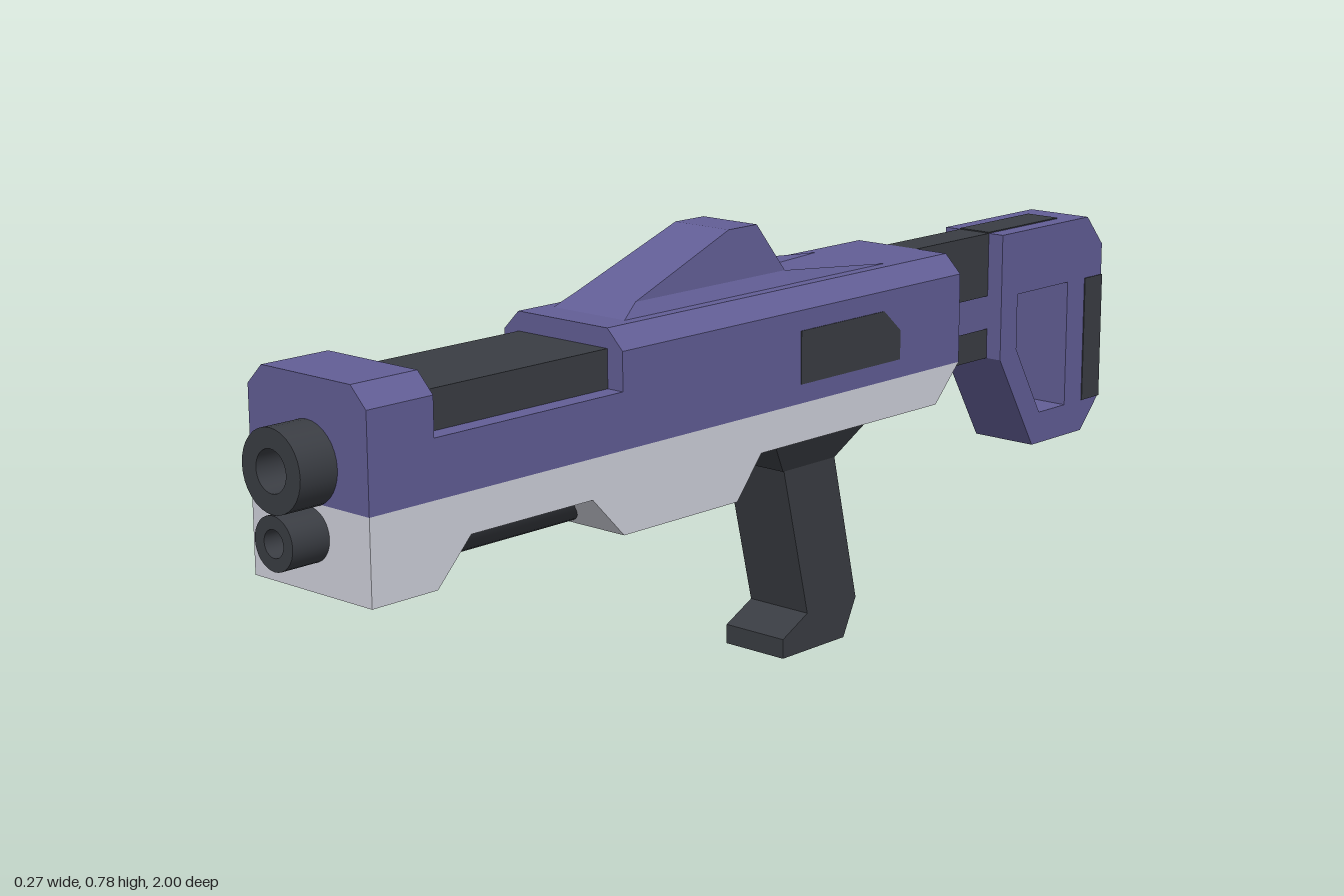
import * as THREE from 'three';
import { ConvexGeometry } from 'three/addons/geometries/ConvexGeometry.js';

const mat = (color, flatShading = true) => {
  const m = new THREE.MeshStandardMaterial({ flatShading });
  m.color.set(color);
  return m;
};
const purple = mat(0x625e96), dark = mat(0x3a3d43), light = mat(0xd0d2dc);
const darkSmooth = mat(0x3a3d43, false);
const V = (x, y, z) => new THREE.Vector3(x, y, z);
const shapeOf = (pts) => new THREE.Shape(pts.map(([a, b]) => new THREE.Vector2(a, b)));

// Side profile given as [z, y], extruded symmetrically across x
function sideExtrude(pts, halfWidth, hole) {
  const shape = shapeOf(pts);
  if (hole) shape.holes.push(shapeOf(hole));
  return new THREE.ExtrudeGeometry(shape, { depth: 2 * halfWidth, bevelEnabled: false })
    .translate(0, 0, -halfWidth).rotateY(-Math.PI / 2);
}

// Front profile given as [x, y], extruded from z0 to z1
const frontExtrude = (pts, z0, z1) =>
  new THREE.ExtrudeGeometry(shapeOf(pts), { depth: z1 - z0, bevelEnabled: false }).translate(0, 0, z0);

// Box given by its half width and its y and z ranges
const box = (hx, y0, y1, z0, z1) =>
  new THREE.BoxGeometry(2 * hx, y1 - y0, z1 - z0).translate(0, (y0 + y1) / 2, (z0 + z1) / 2);

// Hollow muzzle ring pointing forward
function ring(ro, ri, y, z0, z1) {
  const h = z1 - z0;
  const profile = [[ro, 0], [ro, h], [ro, h], [ri, h], [ri, h], [ri, 0]].map(([r, t]) => new THREE.Vector2(r, t));
  return new THREE.LatheGeometry(profile, 32).rotateX(Math.PI / 2).translate(0, y, z0);
}

// Sight housing: sections lofted from front to back, with the sloped rear left open for the frame
function sightGeometry() {
  const base = 0.668;
  const sections = [ // z, mid half width, mid y, top half width, top y
    [0.34, 0.08, base, 0.08, base],
    [0.3, 0.066, 0.69, 0.066, 0.69],
    [0.07, 0.066, 0.69, 0.06, 0.776],
    [0, 0.066, 0.69, 0.06, 0.776],
    [-0.065, 0.066, 0.69, 0.066, 0.69],
  ].map(([z, m, my, t, ty]) => [
    V(-0.08, base, z), V(-m, my, z), V(-t, ty, z), V(t, ty, z), V(m, my, z), V(0.08, base, z),
  ]);
  const pts = [], last = sections.length - 1;
  for (let j = 0; j < last; j++) {
    for (let k = 0; k < 5; k++) {
      if (j === last - 1 && k === 2) continue;
      const a = sections[j][k], b = sections[j][k + 1], c = sections[j + 1][k + 1], d = sections[j + 1][k];
      pts.push(a, b, c, a, c, d);
    }
  }
  for (let k = 1; k < 5; k++) pts.push(sections[last][0], sections[last][k], sections[last][k + 1]);
  const g = new THREE.BufferGeometry().setFromPoints(pts);
  g.computeVertexNormals();
  return g;
}

export function createModel() {
  const model = new THREE.Group();
  const add = (name, geometry, material, parent = model) => {
    const mesh = new THREE.Mesh(geometry, material);
    mesh.name = name;
    parent.add(mesh);
    return mesh;
  };

  // Upper body: chamfered blocks either side of a low waist
  const chamfered = [[-0.133, 0.475], [0.133, 0.475], [0.133, 0.635], [0.1, 0.668], [-0.1, 0.668], [-0.133, 0.635]];
  add('upperBodyFront', frontExtrude(chamfered, 0.8, 0.93), purple);
  add('upperBodyRear', frontExtrude(chamfered, -0.465, 0.4), purple);
  add('upperBodyWaist', box(0.133, 0.475, 0.57, 0.4, 0.8), purple);
  add('topSlide', box(0.1, 0.57, 0.635, 0.4, 0.8), dark);

  // Lower body with a cutout that shows the under tube
  add('lowerBody', sideExtrude([
    [0.93, 0.475], [0.93, 0.336], [0.8, 0.336], [0.73, 0.408], [0.47, 0.408], [0.4, 0.336],
    [0.13, 0.336], [0.07, 0.408], [-0.4, 0.408], [-0.465, 0.475],
  ], 0.133), light);
  add('underTube', new THREE.CylinderGeometry(0.072, 0.072, 0.42, 32).rotateX(Math.PI / 2)
    .translate(0, 0.41, 0.6), darkSmooth);

  // Muzzles
  add('upperMuzzle', ring(0.066, 0.034, 0.535, 0.93, 1), darkSmooth);
  add('lowerMuzzle', ring(0.043, 0.022, 0.425, 0.93, 1), darkSmooth);

  // Side panels
  for (const side of [-1, 1]) {
    add(side > 0 ? 'leftPanel' : 'rightPanel', sideExtrude([
      [-0.03, 0.508], [-0.03, 0.6], [-0.25, 0.6], [-0.295, 0.56], [-0.295, 0.508],
    ], 0.002).translate(side * 0.1325, 0, 0), dark);
  }

  // Sight housing with its recessed rear window
  const sight = new THREE.Group();
  sight.name = 'sight';
  model.add(sight);
  add('sightHousing', sightGeometry(), purple, sight);
  const slope = 0.1078, depth = 0.03;
  const frame = shapeOf([[-0.066, 0], [0.066, 0], [0.06, slope], [-0.06, slope]]);
  frame.holes.push(shapeOf([[-0.047, 0.016], [0.047, 0.016], [0.043, 0.092], [-0.043, 0.092]]));
  const toSlope = new THREE.Matrix4()
    .makeBasis(V(-1, 0, 0), V(0, 0.798, 0.603), V(0, 0.603, -0.798))
    .setPosition(0, 0.69, -0.065);
  add('sightFrame', new THREE.ExtrudeGeometry(frame, { depth, bevelEnabled: false })
    .translate(0, 0, -depth).applyMatrix4(toSlope), [purple, dark], sight);
  add('sightWindow', new THREE.PlaneGeometry(0.096, 0.08)
    .translate(0, 0.054, -depth + 0.003).applyMatrix4(toSlope), light, sight);
  for (const s of [-1, 1]) {
    add(s > 0 ? 'leftSightFin' : 'rightSightFin', new ConvexGeometry([
      V(s * 0.08, 0.667, -0.065), V(s * 0.066, 0.69, -0.065), V(s * 0.045, 0.667, -0.065), V(s * 0.08, 0.667, -0.33),
    ]), purple, sight);
  }

  // Grip with a flared collar
  add('grip', sideExtrude([
    [-0.065, 0.34], [-0.13, 0.068], [-0.065, 0.035], [-0.065, 0], [-0.23, 0], [-0.263, 0.068], [-0.2, 0.34],
  ], 0.066), dark);
  const collar = [];
  for (const s of [-1, 1]) {
    collar.push(V(s * 0.1, 0.409, 0), V(s * 0.1, 0.409, -0.265), V(s * 0.066, 0.338, -0.063), V(s * 0.066, 0.338, -0.2));
  }
  add('gripCollar', new ConvexGeometry(collar), dark);

  // Stock arm, slotted and running into the top of the stock
  add('stockArm', sideExtrude(
    [[-0.465, 0.668], [-0.465, 0.432], [-0.69, 0.432], [-0.69, 0.668]], 0.034,
    [[-0.52, 0.55], [-0.52, 0.488], [-0.68, 0.488], [-0.68, 0.55]],
  ), dark);
  add('stockTopStrip', box(0.034, 0.64, 0.67, -0.895, -0.68), dark);

  // Stock loop and shoulder pad
  add('stock', sideExtrude(
    [[-0.68, 0.668], [-0.95, 0.668], [-1, 0.61], [-1, 0.31], [-0.945, 0.25], [-0.787, 0.25], [-0.68, 0.432]], 0.066,
    [[-0.73, 0.55], [-0.89, 0.55], [-0.89, 0.31], [-0.808, 0.31], [-0.73, 0.445]],
  ), purple);
  add('shoulderPad', box(0.068, 0.31, 0.55, -1.001, -0.945), dark);

  return model;
}
